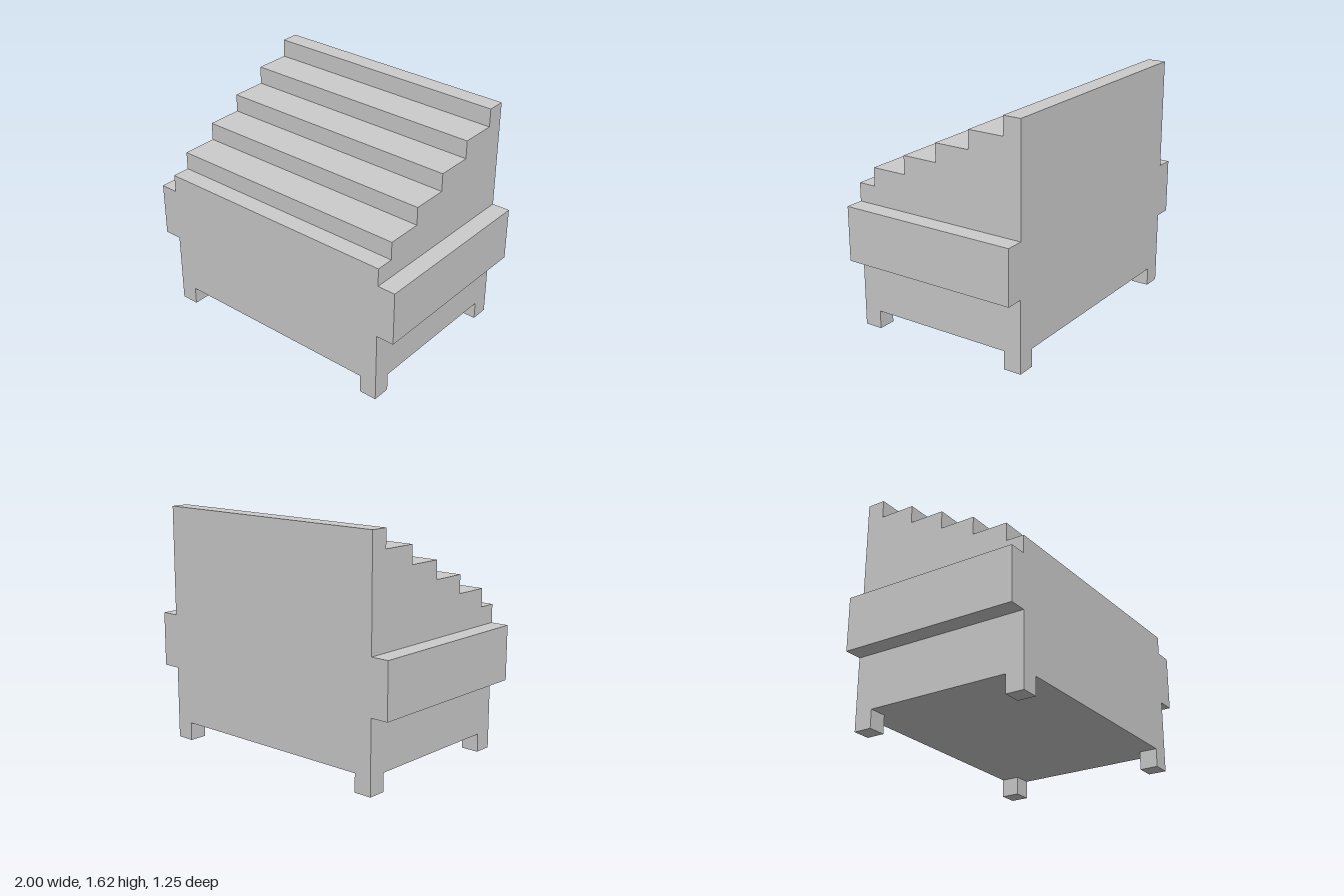
import * as THREE from 'three';

export function createModel() {
  const group = new THREE.Group();
  const material = new THREE.MeshStandardMaterial({ color: 0xcccccc, flatShading: true });
  const halfWidth = 0.875, halfDepth = 0.625, unit = 0.125;

  const add = (name, geometry, x = 0, y = 0, z = 0) => {
    const mesh = new THREE.Mesh(geometry, material);
    mesh.name = name;
    mesh.position.set(x, y, z);
    group.add(mesh);
  };

  // Body: stepped side profile (z, y) extruded across the width
  const profile = new THREE.Shape();
  profile.moveTo(-halfDepth, unit);
  profile.lineTo(halfDepth, unit);
  profile.lineTo(halfDepth, 1);
  for (let i = 0; i < 5; i++) {
    const z = 0.5 - i * 0.25, y = 1 + i * unit;
    profile.lineTo(z, y);
    profile.lineTo(z, y + unit);
  }
  profile.lineTo(-halfDepth, 1.625);
  profile.closePath();
  const body = new THREE.ExtrudeGeometry(profile, { depth: 2 * halfWidth, bevelEnabled: false });
  body.rotateY(-Math.PI / 2);
  body.translate(halfWidth, 0, 0);
  add('steppedBody', body);

  for (const [side, sx] of [['left', 1], ['right', -1]]) {
    // Side rails running the full depth
    add(side + 'SideRail', new THREE.BoxGeometry(unit, 0.375, 2 * halfDepth), sx * (halfWidth + unit / 2), 0.6875, 0);

    // Corner feet
    for (const [end, sz] of [['Front', 1], ['Back', -1]]) {
      add(side + end + 'Foot', new THREE.BoxGeometry(unit, unit, unit),
        sx * (halfWidth - unit / 2), unit / 2, sz * (halfDepth - unit / 2));
    }
  }
  return group;
}
